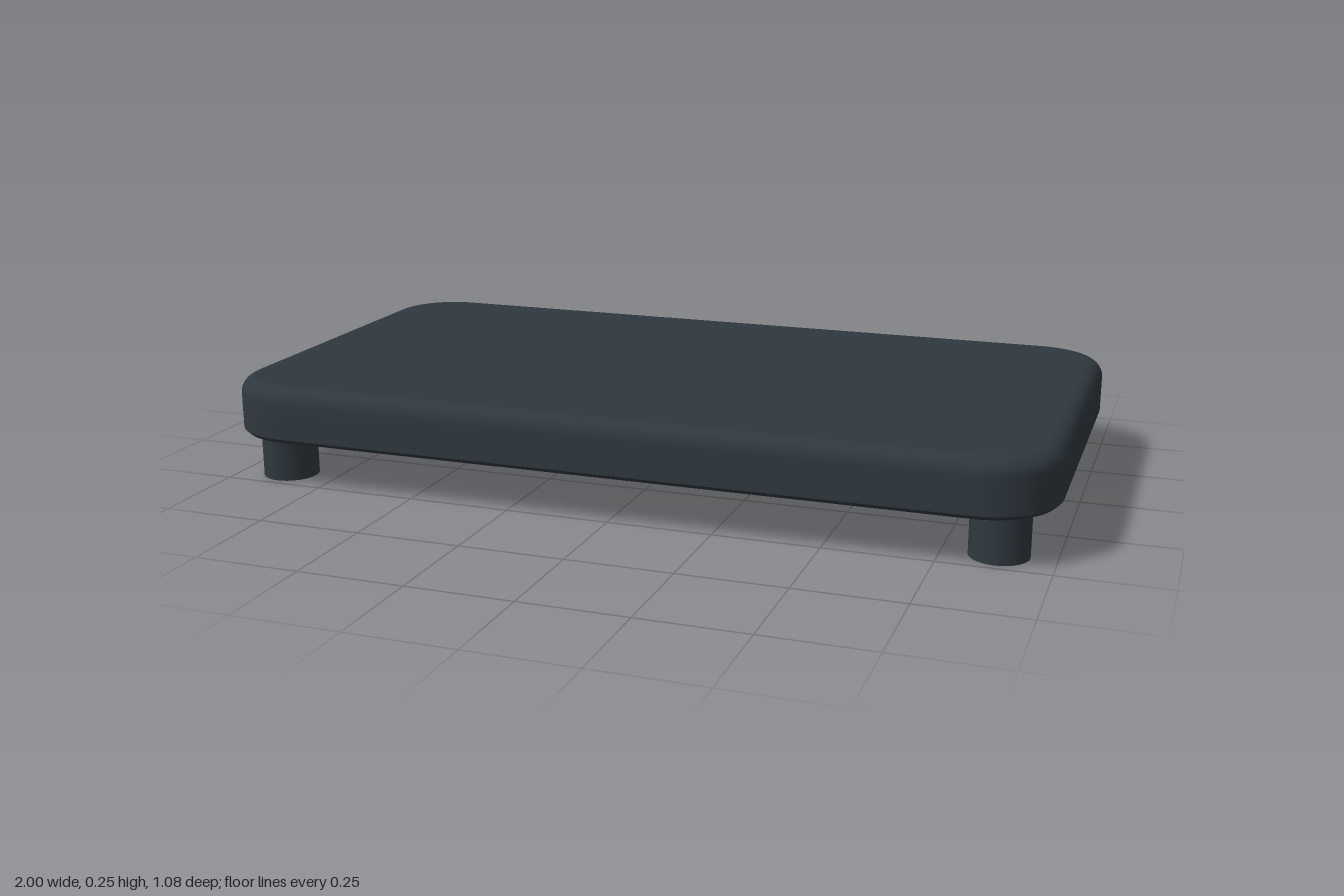
import * as THREE from 'three';
import { toCreasedNormals } from 'three/addons/utils/BufferGeometryUtils.js';

const HX = 1, HZ = 0.54, CORNER = 0.17;      // outer half sizes and corner radius
const BOTTOM = 0.115, TOP = 0.25, CEILING = 0.2;
const POST_X = 0.875, POST_Z = 0.415, POST_R = 0.067;

// Mirror one quarter outline into a closed counter-clockwise loop
function mirrorQuarter(q) {
  const map = (sx, sz) => q.map(p => new THREE.Vector2(p.x * sx, p.y * sz));
  return [...q, ...map(-1, 1).reverse(), ...map(-1, -1), ...map(1, -1).reverse()];
}

// Rounded rectangle, shrunk by an inset
function outerLoop(inset) {
  const q = [], r = CORNER - inset;
  for (let i = 0; i <= 12; i++) {
    const a = (i / 12) * Math.PI / 2;
    q.push(new THREE.Vector2(HX - CORNER + r * Math.cos(a), HZ - CORNER + r * Math.sin(a)));
  }
  return mirrorQuarter(q);
}

// Rectangle whose corners bend inward around the posts
function notchedLoop(hx, hz, r) {
  const a0 = THREE.MathUtils.degToRad(245), a1 = THREE.MathUtils.degToRad(205);
  const onArc = a => new THREE.Vector2(POST_X + r * Math.cos(a), POST_Z + r * Math.sin(a));
  const p0 = onArc(a0), p1 = onArc(a1);
  const c0 = new THREE.Vector2(hx, POST_Z + (r - (hx - POST_X) * Math.cos(a0)) / Math.sin(a0));
  const c1 = new THREE.Vector2(POST_X + (r - (hz - POST_Z) * Math.sin(a1)) / Math.cos(a1), hz);
  const s0 = new THREE.Vector2(hx, c0.y - 0.06), s1 = new THREE.Vector2(c1.x - 0.06, hz);
  const q = new THREE.QuadraticBezierCurve(s0, c0, p0).getPoints(8);
  for (let i = 1; i < 8; i++) q.push(onArc(a0 + (a1 - a0) * i / 8));
  q.push(...new THREE.QuadraticBezierCurve(p1, c1, s1).getPoints(8));
  return mirrorQuarter(q);
}

// Skin a series of [loop, height] rings
function loft(rings) {
  const n = rings[0][0].length, pos = [], idx = [];
  for (const [loop, y] of rings) for (const p of loop) pos.push(p.x, y, p.y);
  for (let i = 0; i < rings.length - 1; i++) {
    for (let j = 0; j < n; j++) {
      const a = i * n + j, b = i * n + (j + 1) % n;
      idx.push(a, a + n, b + n, a, b + n, b);
    }
  }
  const g = new THREE.BufferGeometry();
  g.setAttribute('position', new THREE.Float32BufferAttribute(pos, 3));
  g.setIndex(idx);
  return toCreasedNormals(g, 0.6);
}

// Flat horizontal face, facing up or down
function flatFace(loop, y, up, hole) {
  const shape = new THREE.Shape(loop);
  if (hole) shape.holes.push(new THREE.Path(hole));
  return new THREE.ShapeGeometry(shape).rotateX(up ? -Math.PI / 2 : Math.PI / 2).translate(0, y, 0);
}

export function createModel() {
  const model = new THREE.Group();
  model.name = 'enclosureLid';
  const plastic = new THREE.MeshStandardMaterial({ color: 0x2f383f });
  plastic.name = 'dark slate plastic';
  const add = (name, geometry) => {
    const mesh = new THREE.Mesh(geometry, plastic);
    mesh.name = name;
    model.add(mesh);
    return mesh;
  };

  // Outer shell: chamfered lower edge, straight wall, rounded upper edge
  const fillet = 0.04;
  const shell = [[outerLoop(0.01), BOTTOM], [outerLoop(0), BOTTOM + 0.01]];
  for (let i = 0; i <= 8; i++) {
    const a = (i / 8) * Math.PI / 2;
    shell.push([outerLoop(fillet * (1 - Math.cos(a))), TOP - fillet * (1 - Math.sin(a))]);
  }
  add('outerWall', loft(shell));
  add('topPanel', flatFace(outerLoop(fillet), TOP, true));

  // Underside: rim, sealing groove, lip and recessed pocket
  const grooveOuter = notchedLoop(0.93, 0.47, 0.085);
  const grooveInner = notchedLoop(0.91, 0.45, 0.105);
  const pocket = notchedLoop(0.88, 0.42, 0.135);
  const grooveTop = BOTTOM + 0.03;
  add('bottomRim', flatFace(outerLoop(0.01), BOTTOM, false, grooveOuter));
  add('grooveAndLip', loft([
    [pocket, CEILING], [pocket, BOTTOM], [grooveInner, BOTTOM],
    [grooveInner, grooveTop], [grooveOuter, grooveTop], [grooveOuter, BOTTOM],
  ]));
  add('pocketCeiling', flatFace(pocket, CEILING, false));

  // Hollow screw posts at the four corners
  const profile = [[0, 0.09], [0.022, 0.09], [0.022, 0], [POST_R, 0], [POST_R, BOTTOM + 0.005]]
    .map(([x, y]) => new THREE.Vector2(x, y));
  const postGeometry = toCreasedNormals(new THREE.LatheGeometry(profile, 32), 0.6);
  for (const [sx, side] of [[1, 'Left'], [-1, 'Right']]) {
    for (const [sz, end] of [[1, 'front'], [-1, 'back']]) {
      add(`${end}${side}ScrewPost`, postGeometry).position.set(sx * POST_X, 0, sz * POST_Z);
    }
  }
  return model;
}
